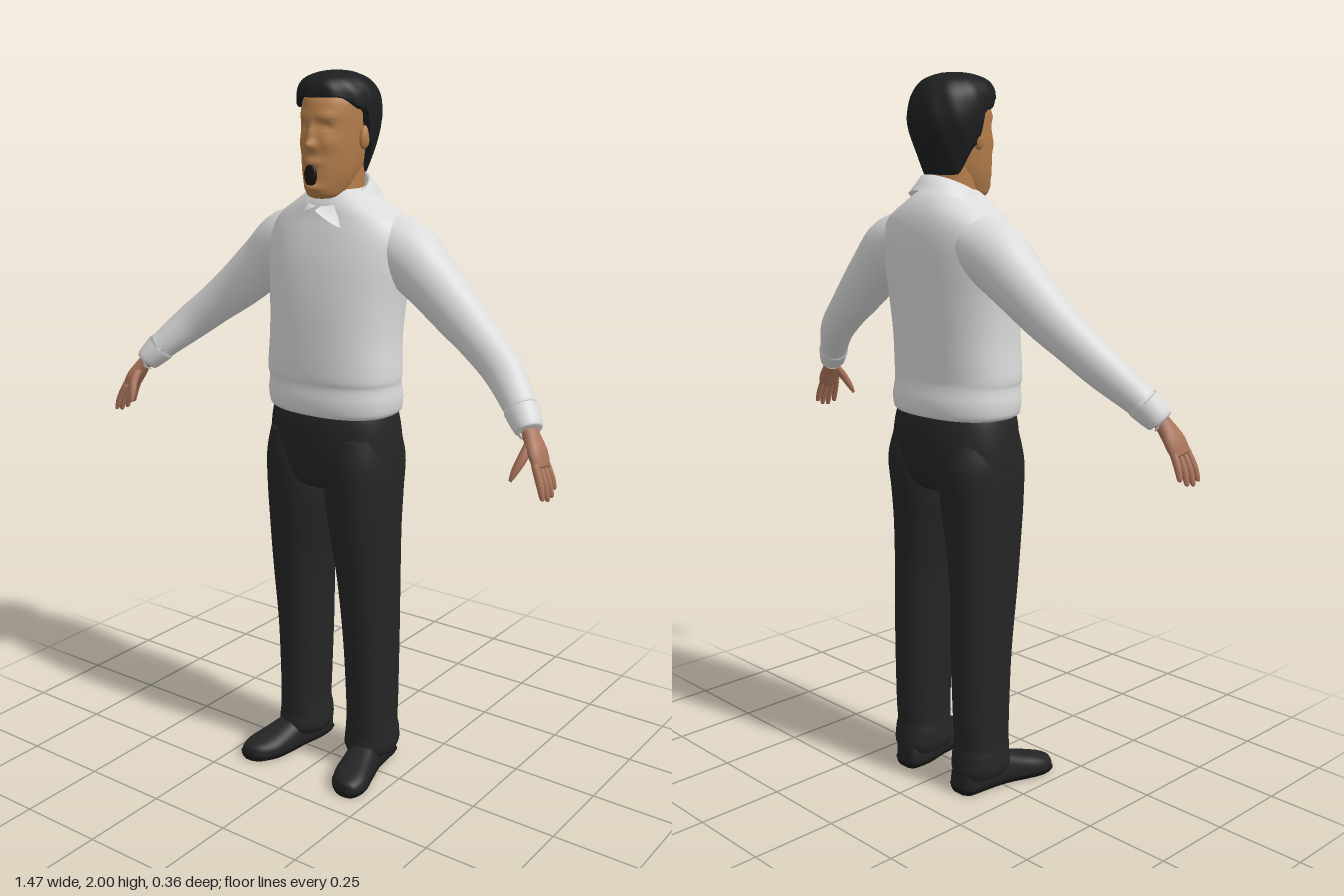
import * as THREE from 'three';

const mat = (name, hex, side = THREE.FrontSide) => {
  const m = new THREE.MeshStandardMaterial({ color: hex, side });
  m.name = name;
  return m;
};
const V = (x, y, z) => new THREE.Vector3(x, y, z);

// Surface through rings of points, listed from start to end
function skin(rings, { closed = true, caps = true } = {}) {
  const n = rings[0].length, pos = [], idx = [];
  rings.forEach(r => r.forEach(p => pos.push(p.x, p.y, p.z)));
  for (let j = 0; j < rings.length - 1; j++) {
    for (let i = 0; i < (closed ? n : n - 1); i++) {
      const a = j * n + i, b = j * n + (i + 1) % n;
      idx.push(a, b, a + n, b, b + n, a + n);
    }
  }
  if (caps) {
    [0, rings.length - 1].forEach((j, end) => {
      const c = rings[j].reduce((s, p) => s.add(p), V(0, 0, 0)).divideScalar(n);
      const k = pos.length / 3;
      pos.push(c.x, c.y, c.z);
      for (let i = 0; i < n; i++) {
        const a = j * n + i, b = j * n + (i + 1) % n;
        end ? idx.push(a, b, k) : idx.push(b, a, k);
      }
    });
  }
  const g = new THREE.BufferGeometry();
  g.setAttribute('position', new THREE.Float32BufferAttribute(pos, 3));
  g.setIndex(idx);
  g.computeVertexNormals();
  return g;
}

// Smooth in-between rows for a short table of sections
function resample(rows, steps) {
  const out = [], at = i => rows[Math.max(0, Math.min(rows.length - 1, i))];
  for (let s = 0; s < rows.length - 1; s++) {
    for (let k = 0; k < steps; k++) {
      const t = k / steps;
      out.push(rows[s].map((p1, c) => {
        const p0 = at(s - 1)[c], p2 = at(s + 1)[c], p3 = at(s + 2)[c];
        return p1 + 0.5 * t * (p2 - p0 + t * (2 * p0 - 5 * p1 + 4 * p2 - p3 + t * (3 * (p1 - p2) + p3 - p0)));
      }));
    }
  }
  out.push(at(rows.length - 1));
  return out;
}

// Loft of elliptical sections [x, y, z, radius along ref, radius across]
function loft(sections, { ref = V(0, 0, 1), axis = null, steps = 5, sides = 32, power = 1 } = {}) {
  const rows = resample(sections, steps);
  const centre = i => V(...rows[Math.max(0, Math.min(rows.length - 1, i))].slice(0, 3));
  const bend = v => Math.sign(v) * Math.abs(v) ** power;
  return skin(rows.map((r, i) => {
    const T = axis ? axis.clone() : centre(i + 1).sub(centre(i - 1)).normalize();
    const U = ref.clone().addScaledVector(T, -ref.dot(T)).normalize();
    const W = T.clone().cross(U);
    return Array.from({ length: sides }, (_, k) => {
      const a = k / sides * Math.PI * 2;
      return centre(i).addScaledVector(U, bend(Math.cos(a)) * r[3]).addScaledVector(W, bend(Math.sin(a)) * r[4]);
    });
  }));
}

// Upright loft from [y, centre x, half width, front z, back z]
const upright = (rows, opts = {}) => loft(
  rows.map(([y, x, hx, f, b]) => [x, y, (f + b) / 2, (f - b) / 2, hx]), { axis: V(0, 1, 0), ...opts });

// Move vertices by a rule
function reshape(g, rule) {
  const p = g.attributes.position, v = V(0, 0, 0);
  for (let i = 0; i < p.count; i++) {
    v.fromBufferAttribute(p, i);
    rule(v);
    p.setXYZ(i, v.x, v.y, v.z);
  }
  g.computeVertexNormals();
  return g;
}

function mirrored(g) {
  const m = g.clone(), ix = m.index.array;
  m.scale(-1, 1, 1);
  for (let i = 0; i < ix.length; i += 3) [ix[i], ix[i + 1]] = [ix[i + 1], ix[i]];
  m.computeVertexNormals();
  return m;
}

export function createModel() {
  const model = new THREE.Group();
  model.name = 'standingMan';
  const shirt = mat('shirt grey', 0xdadada, THREE.DoubleSide), trousers = mat('trouser black', 0x252525);
  const face = mat('face skin', 0xb57e4b), hand = mat('hand skin', 0xa9735a);
  const hair = mat('hair black', 0x1c1e20), shoe = mat('shoe black', 0x242424);
  const sole = mat('sole black', 0x181818), dark = mat('mouth dark', 0x1c1110);
  const add = (name, g, m) => {
    const mesh = new THREE.Mesh(g, m);
    mesh.name = name;
    model.add(mesh);
  };
  const pair = (name, g, m) => {
    add('left' + name, g, m);
    add('right' + name, mirrored(g), m);
  };

  // Sweater body with a gathered hem
  add('torso', upright([
    [1.083, 0, 0.178, 0.098, -0.148], [1.095, 0, 0.195, 0.111, -0.161], [1.13, 0, 0.2, 0.115, -0.163],
    [1.17, 0, 0.197, 0.111, -0.155], [1.2, 0, 0.2, 0.115, -0.154], [1.3, 0, 0.195, 0.112, -0.163],
    [1.4, 0, 0.2, 0.105, -0.173], [1.5, 0, 0.212, 0.09, -0.18], [1.57, 0, 0.212, 0.072, -0.18],
    [1.62, 0, 0.185, 0.056, -0.172], [1.66, 0, 0.125, 0.045, -0.155], [1.69, 0, 0.08, 0.025, -0.128],
    [1.7, 0, 0.05, 0, -0.1]], { sides: 48, power: 0.85 }), shirt);

  // Sleeves with cuffs
  pair('Sleeve', loft([
    [0.07, 1.575, -0.075, 0.08, 0.07], [0.19, 1.533, -0.072, 0.088, 0.09], [0.28, 1.465, -0.068, 0.076, 0.08],
    [0.37, 1.39, -0.058, 0.064, 0.07], [0.45, 1.328, -0.043, 0.055, 0.06], [0.53, 1.265, -0.02, 0.049, 0.054],
    [0.605, 1.195, 0.025, 0.042, 0.043], [0.615, 1.185, 0.031, 0.044, 0.045],
    [0.648, 1.148, 0.052, 0.039, 0.036], [0.651, 1.144, 0.054, 0.03, 0.026]]), shirt);

  // Hands: palm, four fingers, thumb
  pair('Palm', loft([
    [0.64, 1.158, 0.048, 0.024, 0.02], [0.662, 1.13, 0.06, 0.027, 0.02],
    [0.685, 1.095, 0.07, 0.038, 0.019], [0.702, 1.06, 0.076, 0.036, 0.013]], { sides: 16 }), hand);
  for (let i = 0; i < 4; i++) {
    const s = i - 1.5, len = [0.82, 1, 1.05, 0.95][i], z = 0.076 + s * 0.018;
    pair('Finger' + (i + 1), loft([
      [0.695, 1.075, z, 0.009, 0.01], [0.698 + 0.018 * len, 1.065 - 0.035 * len, z + 0.004 + s * 0.003, 0.0095, 0.01],
      [0.7 + 0.027 * len, 1.065 - 0.07 * len, z + 0.005 + s * 0.005, 0.007, 0.007],
      [0.7 + 0.028 * len, 1.065 - 0.077 * len, z + 0.005 + s * 0.005, 0.003, 0.003]], { sides: 10, steps: 3 }), hand);
  }
  pair('Thumb', loft([
    [0.665, 1.125, 0.07, 0.012, 0.012], [0.663, 1.09, 0.102, 0.012, 0.013],
    [0.652, 1.055, 0.122, 0.009, 0.01], [0.645, 1.03, 0.133, 0.004, 0.004]], { sides: 10, steps: 3 }), hand);

  // Trousers
  add('trouserSeat', upright([
    [1.115, 0, 0.175, 0.095, -0.145], [1.07, 0, 0.188, 0.108, -0.16], [1.0, 0, 0.197, 0.11, -0.166],
    [0.93, 0, 0.195, 0.104, -0.157], [0.88, 0, 0.15, 0.085, -0.13], [0.86, 0, 0.06, 0.04, -0.07]].reverse(),
  { sides: 48, power: 0.85 }), trousers);
  pair('TrouserLeg', upright([
    [0.045, 0.122, 0.064, 0.035, -0.125], [0.07, 0.122, 0.074, 0.045, -0.133], [0.11, 0.122, 0.073, 0.04, -0.13],
    [0.14, 0.122, 0.069, 0.041, -0.125], [0.2, 0.122, 0.069, 0.041, -0.129], [0.4, 0.119, 0.073, 0.052, -0.134],
    [0.6, 0.116, 0.081, 0.074, -0.132], [0.75, 0.107, 0.092, 0.092, -0.138], [0.85, 0.102, 0.099, 0.102, -0.148],
    [0.95, 0.105, 0.093, 0.106, -0.16], [1.03, 0.105, 0.08, 0.09, -0.14]], { power: 0.9 }), trousers);

  // Shoes, toes turned out, on flat soles
  const shoeRows = [
    [0.117, 0.03, -0.13, 0.035, 0.025], [0.118, 0.035, -0.115, 0.05, 0.043], [0.12, 0.04, -0.06, 0.058, 0.049],
    [0.13, 0.04, 0, 0.058, 0.047], [0.146, 0.03, 0.07, 0.046, 0.053], [0.16, 0.024, 0.125, 0.036, 0.055],
    [0.17, 0.02, 0.165, 0.028, 0.038], [0.174, 0.018, 0.178, 0.022, 0.014]];
  const shoeOpts = { ref: V(0, 1, 0), axis: V(0, 0, 1), power: 0.85 };
  pair('Shoe', reshape(loft(shoeRows, shoeOpts), v => { v.y = Math.max(v.y, 0.012); }), shoe);
  pair('Sole', reshape(loft(shoeRows.map(r => [...r.slice(0, 4), r[4] + 0.005]), shoeOpts),
    v => { v.y = Math.max(0, Math.min(v.y, 0.017)); }), sole);

  // Neck and head; face features are soft bumps [x, y, spread x, spread y, depth]
  add('neck', upright([[1.62, 0, 0.07, 0.04, -0.11], [1.68, 0, 0.066, 0.028, -0.11], [1.78, 0, 0.066, 0.02, -0.115]]), face);
  const bumps = [
    [0, 1.812, 0.014, 0.012, 0.023], [0, 1.84, 0.01, 0.022, 0.014], [0, 1.768, 0.026, 0.009, 0.009],
    [0, 1.702, 0.026, 0.01, 0.01]];
  for (const s of [-1, 1]) {
    bumps.push([s * 0.036, 1.885, 0.026, 0.01, 0.007], [s * 0.034, 1.858, 0.015, 0.011, -0.011],
      [s * 0.034, 1.853, 0.01, 0.006, 0.005], [s * 0.045, 1.815, 0.02, 0.02, 0.006]);
  }
  add('head', reshape(upright([
    [1.672, 0, 0.025, 0.06, 0], [1.68, 0, 0.043, 0.078, -0.04], [1.7, 0, 0.055, 0.086, -0.075],
    [1.74, 0, 0.069, 0.088, -0.105], [1.79, 0, 0.078, 0.086, -0.125], [1.85, 0, 0.084, 0.083, -0.14],
    [1.92, 0, 0.085, 0.073, -0.138], [1.965, 0, 0.062, 0.035, -0.11], [1.98, 0, 0.03, 0, -0.07]],
  { sides: 80, steps: 8 }), v => {
    if (v.z < 0) return;
    v.z += bumps.reduce((s, [x, y, sx, sy, d]) => s + d * Math.exp(-(((v.x - x) / sx) ** 2) - ((v.y - y) / sy) ** 2), 0);
  }), face);
  const ear = new THREE.SphereGeometry(1, 16, 12).scale(0.012, 0.032, 0.019).rotateX(-0.2).translate(0.09, 1.83, -0.03);
  pair('Ear', ear, face);
  add('openMouth', new THREE.SphereGeometry(1, 24, 16).scale(0.02, 0.03, 0.0095).translate(0, 1.735, 0.088), dark);

  // Hair: cap whose lower edge drops from the forehead to the nape
  const hairRows = resample([
    [1.72, 0.07, 0.07, -0.112], [1.8, 0.094, 0.078, -0.145], [1.87, 0.108, 0.08, -0.165], [1.93, 0.108, 0.083, -0.156],
    [1.96, 0.097, 0.08, -0.14], [1.98, 0.078, 0.064, -0.118], [1.992, 0.052, 0.035, -0.088],
    [1.998, 0.028, 0.003, -0.062], [2, 0.002, -0.024, -0.028]], 8);
  const hairAt = y => {
    const i = Math.max(1, hairRows.findIndex(r => r[0] >= y - 1e-9)), a = hairRows[i - 1], b = hairRows[i];
    return a.map((v, c) => v + (b[c] - v) * (y - a[0]) / (b[0] - a[0]));
  };
  const edge = a => {
    const c = Math.cos(a), s = THREE.MathUtils.smoothstep;
    return 1.932 - 0.03 * s(-c, -0.8, -0.3) - 0.09 * s(-c, -0.22, 0.02) - 0.077 * s(-c, 0.05, 0.6);
  };
  const hairRings = [];
  for (let j = -1; j <= 22; j++) {
    const t = Math.sin(Math.max(0, j) / 22 * Math.PI / 2);
    hairRings.push(Array.from({ length: 72 }, (_, k) => {
      const a = k / 72 * Math.PI * 2, e = edge(a);
      const [y, hx, f, b] = hairAt(e + (2 - e) * t);
      const r = (j < 0 ? 0.78 : 1) * (1 + 0.012 * Math.sin(a * 11 + y * 40));
      return V(Math.sin(a) * hx * r, y, (f + b) / 2 + Math.cos(a) * (f - b) / 2 * r);
    }));
  }
  add('hair', skin(hairRings, { caps: false }), hair);

  // Folded collar, open at the front with two points
  const drop = a => a < 0.7 ? 0.008 + 0.055 * (a - 0.1) / 0.6 : 0.063 - 0.022 * Math.min(1, (a - 0.7) / 0.3);
  const collarRow = (grow, fall) => Array.from({ length: 81 }, (_, k) => {
    const a = 0.1 + k / 80 * (Math.PI * 2 - 0.2), near = Math.min(a, Math.PI * 2 - a);
    return V(Math.sin(a) * (0.08 + grow), 1.694 - 0.042 * Math.cos(a) - fall * drop(near),
      -0.036 + Math.cos(a) * (0.086 + grow * 1.1));
  });
  add('collar', skin([collarRow(0.034, 1), collarRow(0.018, 0.5), collarRow(0.004, 0), collarRow(-0.004, 0.1),
    collarRow(-0.002, 0.9)], { closed: false, caps: false }), shirt);

  return model;
}
